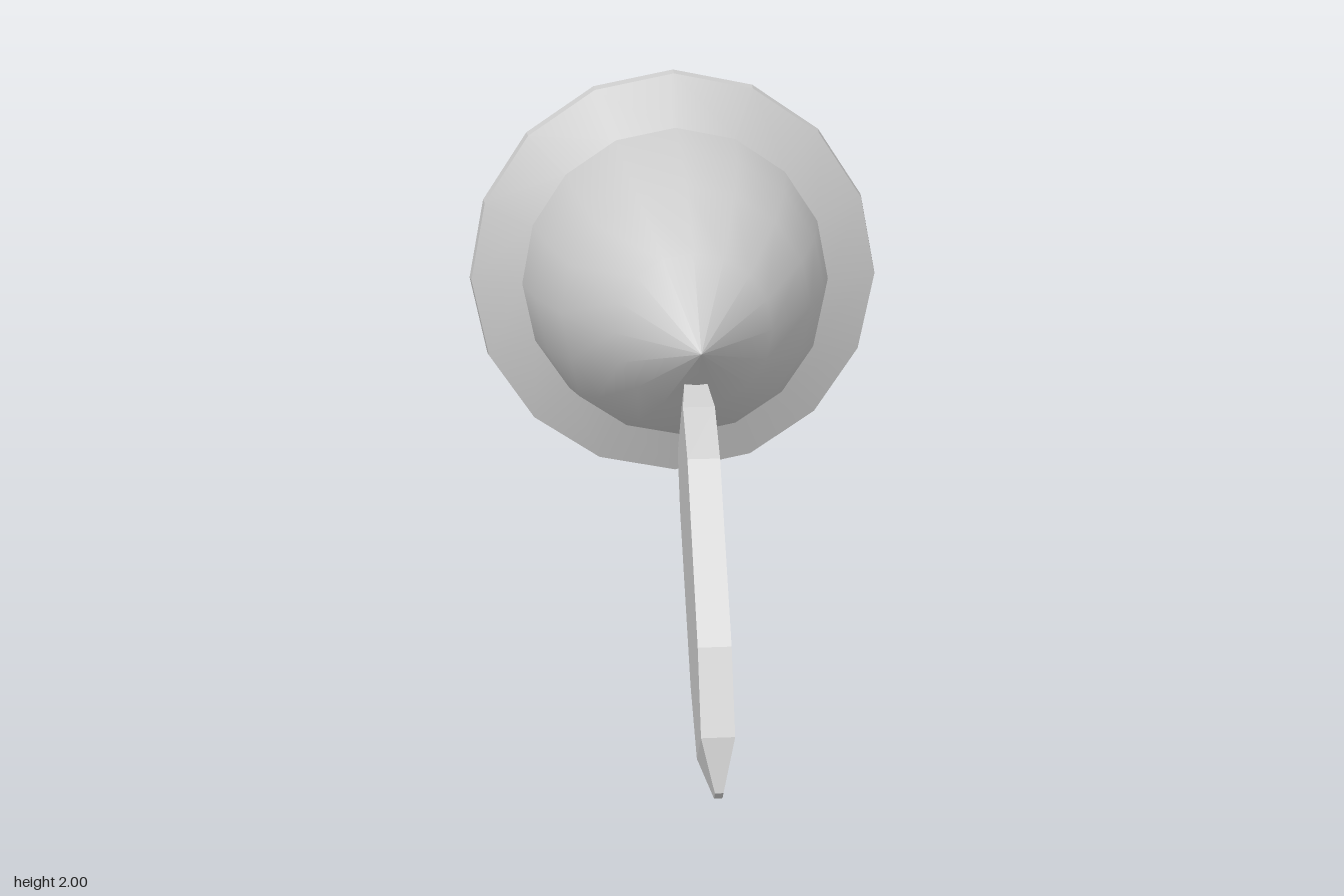
import * as THREE from 'three';

const SIDES = 16;

// Open surface of revolution about the z axis, profile given as [radius, z] from back to front
function turned(name, profile, flatShading) {
  const points = profile.map(([r, z]) => new THREE.Vector2(r, z));
  const geometry = new THREE.LatheGeometry(points, SIDES);
  geometry.rotateX(Math.PI / 2);
  const material = new THREE.MeshStandardMaterial({ color: 0xcccccc, side: THREE.DoubleSide, flatShading });
  const mesh = new THREE.Mesh(geometry, material);
  mesh.name = name;
  mesh.position.y = 1.236;
  return mesh;
}

// Flat tapered blade lofted through rectangular stations:
// [front z, front y, back z, back y, half width]
function createBlade() {
  const stations = [
    [0.95, 0.035, 0.92, 0.003, 0.013],
    [0.91, 0.2, 0.76, 0.06, 0.052],
    [0.79, 0.445, 0.52, 0.2, 0.052],
    [0.4, 0.925, 0.09, 0.645, 0.052],
    [0.22, 1.045, -0.01, 0.82, 0.052],
    [-0.04, 1.143, -0.1, 1.045, 0.022],
  ];
  const cx = -0.003;
  const positions = [];
  const index = [];
  for (const [fz, fy, bz, by, w] of stations) {
    positions.push(cx - w, fy, fz, cx + w, fy, fz, cx + w, by, bz, cx - w, by, bz);
  }
  const quad = (a, b, c, d) => index.push(a, b, c, a, c, d);
  for (let s = 0; s < stations.length - 1; s++) {
    for (let k = 0; k < 4; k++) {
      const a = s * 4 + k;
      const b = s * 4 + ((k + 1) % 4);
      quad(a, b, b + 4, a + 4);
    }
  }
  const last = (stations.length - 1) * 4;
  quad(3, 2, 1, 0);
  quad(last, last + 1, last + 2, last + 3);

  const indexed = new THREE.BufferGeometry();
  indexed.setAttribute('position', new THREE.Float32BufferAttribute(positions, 3));
  indexed.setIndex(index);
  const geometry = indexed.toNonIndexed();
  geometry.computeVertexNormals();
  const mesh = new THREE.Mesh(geometry, new THREE.MeshStandardMaterial({ color: 0xcccccc, flatShading: true }));
  mesh.name = 'blade';
  return mesh;
}

export function createModel() {
  const model = new THREE.Group();
  model.name = 'hornWithBlade';

  // Pointed hollow body, open at the back
  model.add(turned('coneBody', [
    [0.568, -0.82], [0.522, -0.58], [0.436, -0.335], [0.266, -0.03], [0, 0.28],
  ], false));

  // Flared flange and the narrow faceted band around its edge
  model.add(turned('flange', [[0.756, -0.892], [0.568, -0.82]], false));
  model.add(turned('rimBand', [[0.764, -0.947], [0.756, -0.892]], true));

  model.add(createBlade());
  return model;
}
